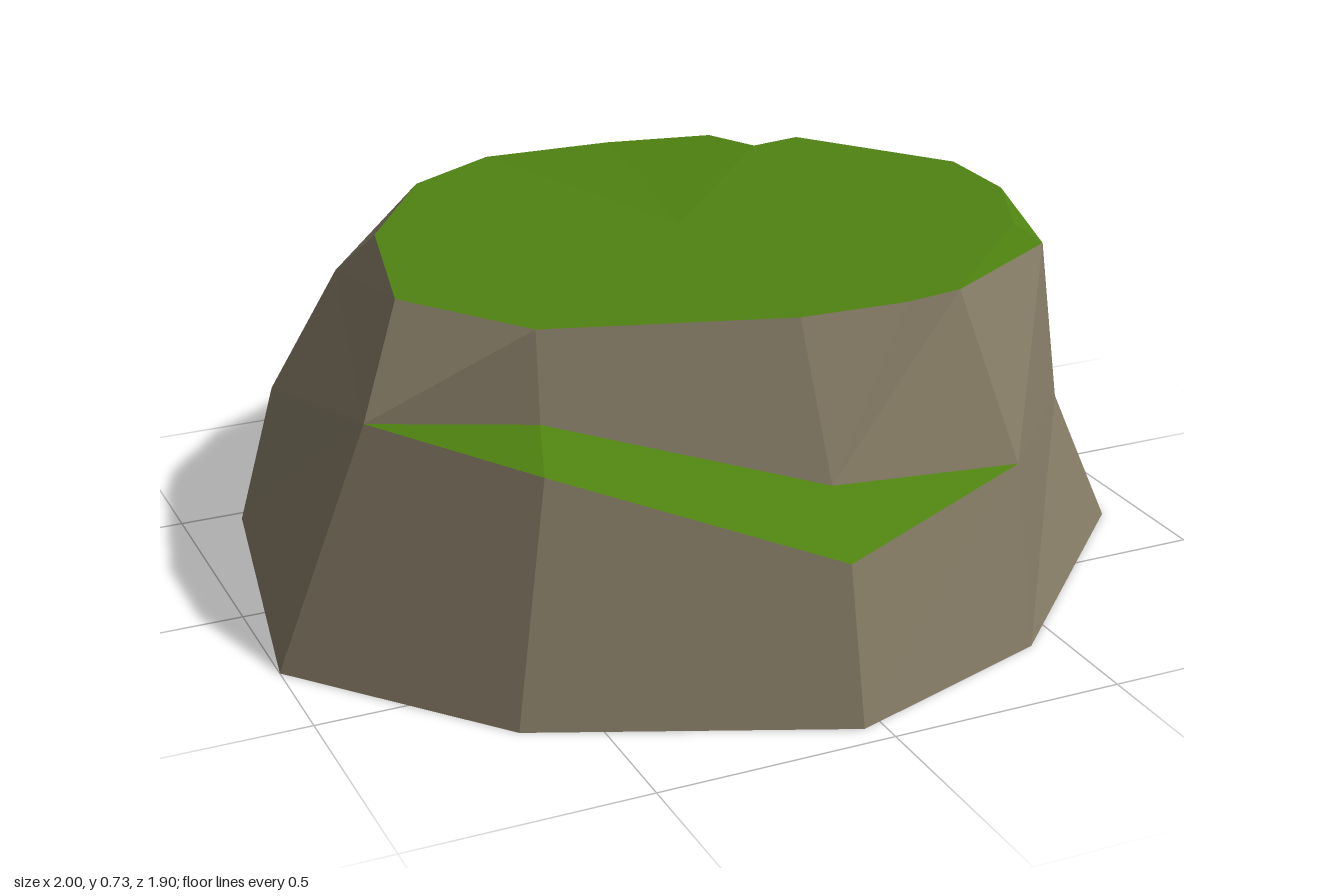
import * as THREE from 'three';

const rock = new THREE.MeshStandardMaterial({ color: 0x857b65 });
rock.name = 'rock';
const grass = new THREE.MeshStandardMaterial({ color: 0x4f8311 });
grass.name = 'grass';

// Foot outline (x, z), counterclockwise seen from above, starting at the front right
const foot = [[-1, 0.27], [-0.65, 0.69], [-0.04, 0.95], [0.43, 0.79], [0.91, 0.31],
  [1, -0.13], [0.67, -0.63], [0.19, -0.95], [-0.24, -0.9], [-0.87, -0.47]].map(([x, z]) => [x, 0, z]);

// Shoulder ring above the foot; the first four corners edge the ledge
const shoulder = [[-0.81, 0.52, 0.3], [-0.56, 0.49, 0.62], [-0.04, 0.32, 0.88], [0.42, 0.38, 0.72],
  [0.785, 0.3, 0.28], [0.83, 0.19, -0.22], [0.57, 0.37, -0.55], [0.19, 0.3, -0.8],
  [-0.23, 0.2, -0.83], [-0.78, 0.3, -0.48]];

// Rim of the plateau
const rim = [[-0.7, 0.725, 0.19], [-0.51, 0.725, 0.46], [-0.02, 0.725, 0.61], [0.21, 0.725, 0.62],
  [0.34, 0.725, 0.6], [0.65, 0.725, 0.29], [0.75, 0.725, 0.07], [0.75, 0.725, -0.14],
  [0.51, 0.725, -0.46], [0.39, 0.725, -0.44], [0.34, 0.718, -0.58], [0.12, 0.7, -0.68],
  [-0.18, 0.7, -0.69], [-0.41, 0.715, -0.52], [-0.61, 0.72, -0.21]];

// Single corners
const ledgeA = [-0.52, 0.545, 0.5];
const ledgeB = [0.01, 0.4, 0.7];
const lip = [0.77, 0.64, 0.22];
const notch = [0.47, 0.6, -0.53];
const bump = [-0.64, 0.58, -0.41];

// Flat-faced mesh from polygons, each fanned from its first corner
function facets(name, material, polygons) {
  const positions = [];
  for (const p of polygons)
    for (let i = 1; i < p.length - 1; i++) positions.push(...p[0], ...p[i], ...p[i + 1]);
  const geometry = new THREE.BufferGeometry();
  geometry.setAttribute('position', new THREE.Float32BufferAttribute(positions, 3));
  geometry.computeVertexNormals();
  const mesh = new THREE.Mesh(geometry, material);
  mesh.name = name;
  return mesh;
}

export function createModel() {
  const group = new THREE.Group();
  group.name = 'grassyRock';
  const [A, B, C, D, E, F, G, H, I, J] = shoulder;
  const T = rim;

  // Lower skirt and underside
  const skirt = foot.map((p, i) => {
    const n = (i + 1) % foot.length;
    return [p, foot[n], shoulder[n], shoulder[i]];
  });
  group.add(facets('lowerRock', rock, skirt));
  group.add(facets('underside', rock, [[...foot].reverse()]));

  // Upper cliffs
  group.add(facets('upperRock', rock, [
    [A, ledgeA, T[1], T[0]],
    [ledgeA, ledgeB, T[2], T[1]],
    [ledgeB, D, T[4], T[3], T[2]],
    [D, E, lip, T[4]],
    [E, F, T[7], T[6], lip],
    [F, G, notch, T[8], T[7]],
    [G, H, T[11], T[10], notch],
    [H, I, T[12], T[11]],
    [I, bump, T[13], T[12]],
    [I, J, bump],
    [bump, J, A, T[0], T[14], T[13]],
  ]));
  group.add(facets('notchRock', rock, [[T[9], T[8], notch]]));

  // Grass plateau, its sloping lip and the notch side
  const centre = [0, 0.725, 0];
  group.add(facets('grassTop', grass, T.map((p, i) => [centre, p, T[(i + 1) % T.length]])));
  group.add(facets('grassLip', grass, [[T[4], lip, T[5]], [lip, T[6], T[5]]]));
  group.add(facets('grassNotch', grass, [[T[10], T[9], notch]]));

  // Grass on the front ledge
  group.add(facets('grassLedge', grass, [[A, B, ledgeA], [B, C, ledgeB, ledgeA], [C, D, ledgeB]]));
  return group;
}
